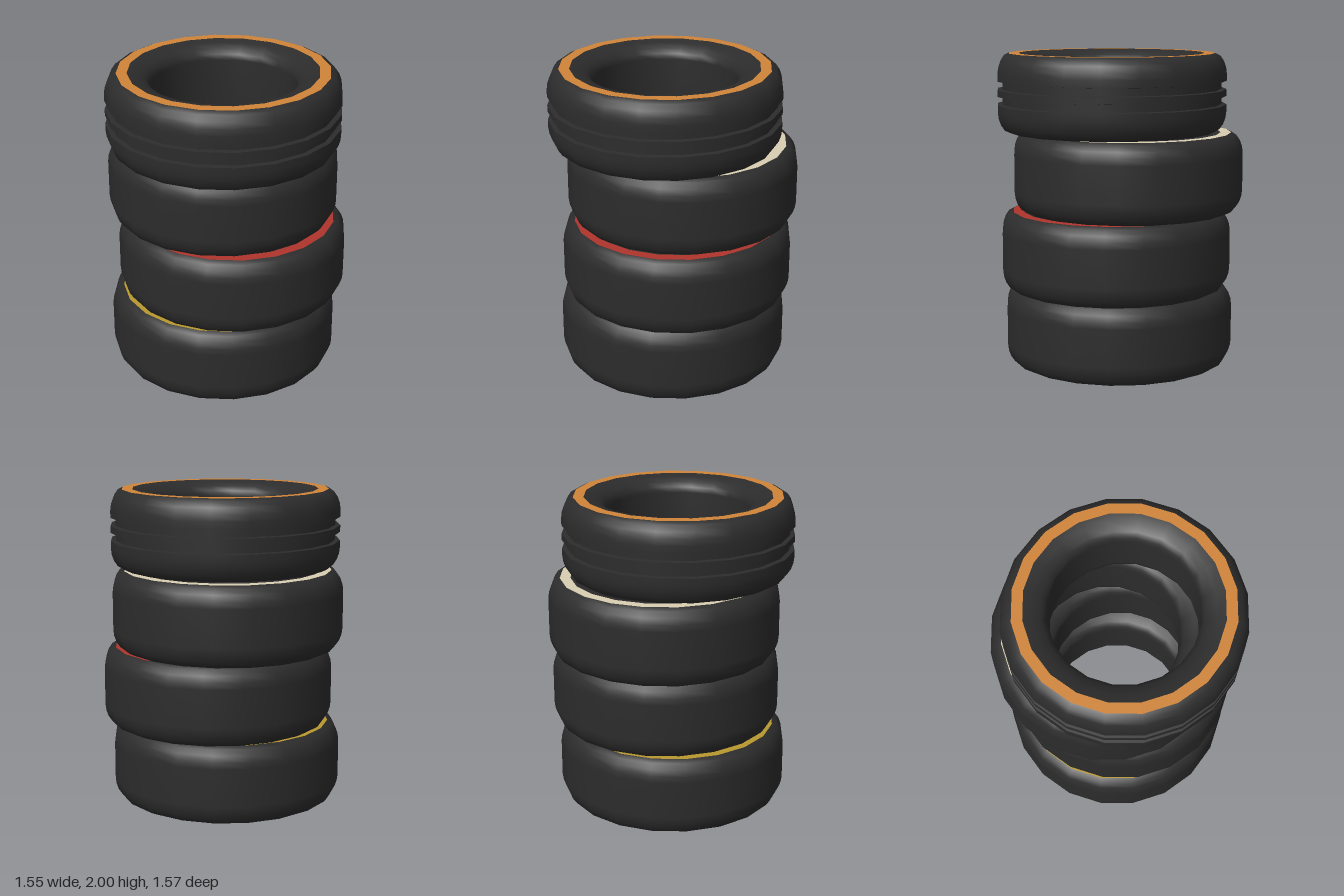
import * as THREE from 'three';

const SEGMENTS = 20;
const HEIGHT = 0.5;

const material = (name, color) => {
  const m = new THREE.MeshStandardMaterial({ color });
  m.name = name;
  return m;
};

// Revolve a short [radius, y] profile; counterclockwise profiles face outwards
function revolve(name, profile, mat) {
  const points = profile.map(([r, y]) => new THREE.Vector2(r, y));
  const mesh = new THREE.Mesh(new THREE.LatheGeometry(points, SEGMENTS), mat);
  mesh.name = name;
  return mesh;
}

// The same profile mirrored to the other side of the tyre
const flip = (profile) => profile.map(([r, y]) => [r, HEIGHT - y]).reverse();

function createTyre(name, rubber, paint, grooved) {
  const tyre = new THREE.Group();
  tyre.name = name;

  const shoulder = [[0.662, 0], [0.695, 0.016], [0.718, 0.05], [0.732, 0.09], [0.737, 0.13]];
  if (grooved) {
    // Two square grooves leave a narrow rib around the middle
    const lower = [...shoulder, [0.737, 0.175]];
    tyre.add(revolve('lowerTread', lower, rubber), revolve('upperTread', flip(lower), rubber));
    const groove = [[0.737, 0.175], [0.705, 0.178], [0.705, 0.226], [0.737, 0.229]];
    for (const g of [groove, flip(groove)]) {
      for (let i = 0; i < 3; i++) tyre.add(revolve('grooveWall', g.slice(i, i + 2), rubber));
    }
    tyre.add(revolve('centreRib', [[0.737, 0.229], [0.737, 0.271]], rubber));
  } else {
    tyre.add(revolve('tread', [...shoulder, ...flip(shoulder)], rubber));
  }

  // Flat painted band and dished sidewall on both faces
  const band = [[0.662, HEIGHT], [0.595, HEIGHT]];
  const sidewall = [[0.595, HEIGHT], [0.54, 0.488], [0.49, 0.465], [0.463, 0.435], [0.455, 0.4]];
  tyre.add(
    revolve('upperBand', band, paint),
    revolve('lowerBand', flip(band), paint),
    revolve('innerWall', [...sidewall, ...flip(sidewall)], rubber),
  );
  return tyre;
}

export function createModel() {
  const model = new THREE.Group();
  model.name = 'tyreStack';
  const rubber = material('rubber', 0x2c2c2c);

  // Bottom to top: paint, x and z offset, grooves
  const tyres = [
    ['bottomTyre', material('yellow', 0xb8982e), -0.008, 0.008, false],
    ['secondTyre', material('red', 0xb0352c), 0.037, -0.028, false],
    ['thirdTyre', material('cream', 0xd9cfb2), -0.042, -0.048, false],
    ['topTyre', material('orange', 0xd08438), 0.02, 0.05, true],
  ];
  tyres.forEach(([name, paint, x, z, grooved], i) => {
    const tyre = createTyre(name, rubber, paint, grooved);
    tyre.position.set(x, i * HEIGHT, z);
    model.add(tyre);
  });
  return model;
}
